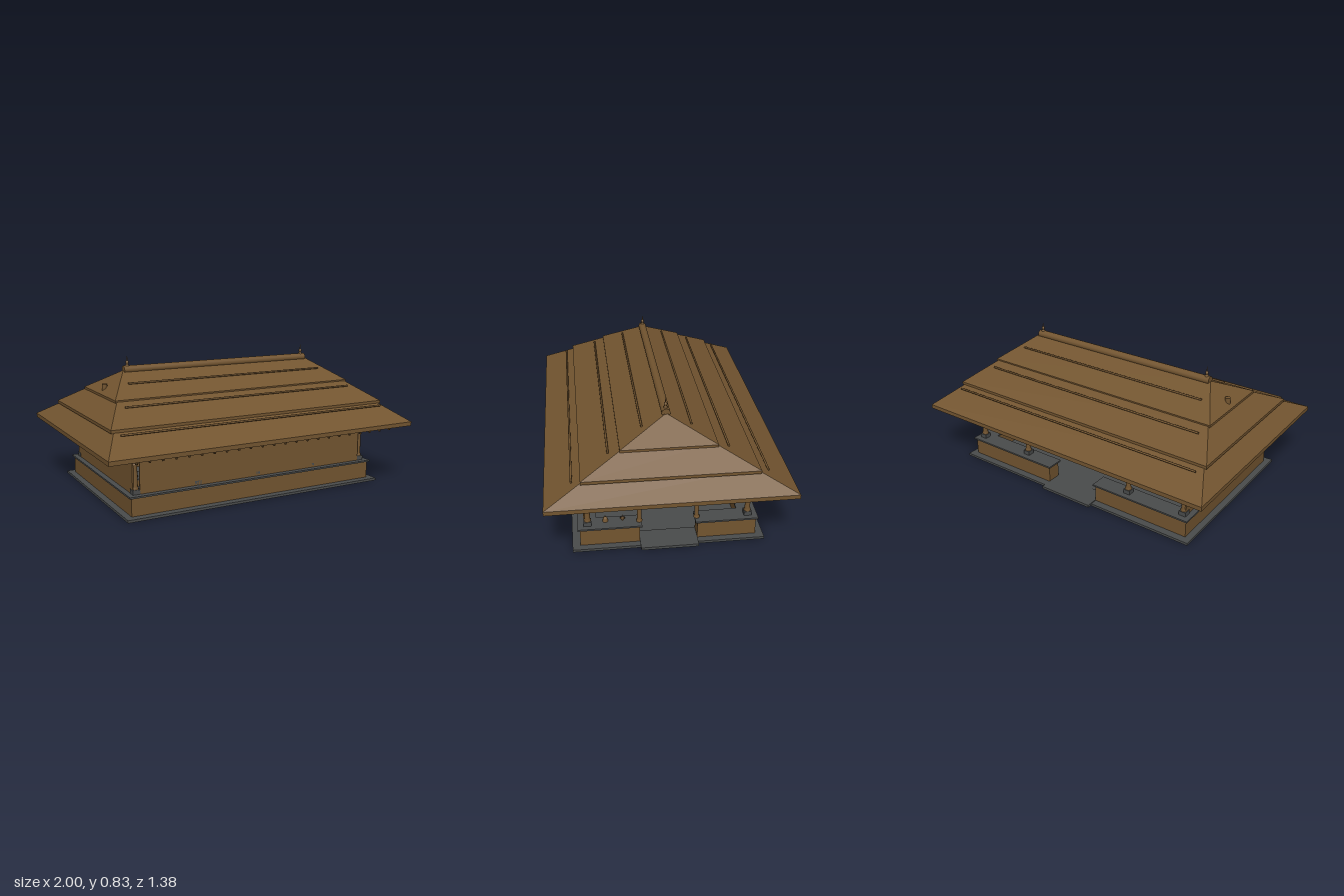
import * as THREE from 'three';

export function createModel() {
  const root = new THREE.Group();
  root.name = 'pavilion';
  const wood = new THREE.MeshStandardMaterial({ color: 0x735530, side: THREE.DoubleSide });
  wood.name = 'brown wood';
  const stone = new THREE.MeshStandardMaterial({ color: 0x4a4c4c });
  stone.name = 'grey stone';

  const add = (name, geo, mat, x = 0, y = 0, z = 0, parent = root) => {
    const m = new THREE.Mesh(geo, mat);
    m.name = name;
    m.position.set(x, y, z);
    parent.add(m);
    return m;
  };
  // Box given by its limits on each axis
  const block = (name, mat, x0, x1, y0, y1, z0, z1) =>
    add(name, new THREE.BoxGeometry(x1 - x0, y1 - y0, z1 - z0), mat,
      (x0 + x1) / 2, (y0 + y1) / 2, (z0 + z1) / 2);
  const lathe = (pts, n = 14) =>
    new THREE.LatheGeometry(pts.map(([r, y]) => new THREE.Vector2(r, y)), n);

  // Base slab and entrance steps
  block('baseSlab', stone, -0.85, 0.85, 0, 0.015, -0.55, 0.55);
  block('rightStep', stone, 0.72, 0.88, 0.004, 0.02, -0.165, 0.165);
  block('backStep', stone, -0.18, 0.18, 0.004, 0.02, -0.58, -0.42);

  // Low walls with stone seats, open in the right end and the back
  const lowWall = (x0, x1, z0, z1) => {
    block('lowWall', wood, x0, x1, 0.015, 0.12, z0, z1);
    const c = 0.012;
    block('seat', stone, x0 - c, x1 + c, 0.12, 0.13, z0 - c, z1 + c);
  };
  lowWall(-0.81, 0.81, 0.42, 0.505);
  lowWall(-0.81, -0.725, -0.42, 0.42);
  lowWall(-0.81, -0.18, -0.505, -0.42);
  lowWall(0.18, 0.81, -0.505, -0.42);
  lowWall(0.725, 0.81, 0.165, 0.42);
  lowWall(0.725, 0.81, -0.42, -0.165);

  // Screens on the front and left end, with rails on the inner side
  block('frontScreen', wood, -0.75, 0.75, 0.13, 0.325, 0.474, 0.482);
  block('leftScreen', wood, -0.789, -0.781, 0.13, 0.325, -0.47, 0.47);
  for (const y of [0.17, 0.235, 0.29]) {
    block('leftScreenRail', wood, -0.781, -0.776, y - 0.003, y + 0.003, -0.47, 0.47);
  }

  // Turned columns with stone feet and stepped brackets
  const shaft = lathe([[0.02, 0.155], [0.02, 0.165], [0.016, 0.172], [0.0145, 0.29], [0.019, 0.295],
    [0.019, 0.302], [0.013, 0.307], [0.013, 0.318], [0.021, 0.332], [0.021, 0.345]]);
  const foot = new THREE.BoxGeometry(0.044, 0.027, 0.044);
  const column = (x, z) => {
    const g = new THREE.Group();
    g.name = 'column';
    g.position.set(x, 0, z);
    root.add(g);
    add('foot', foot, stone, 0, 0.1425, 0, g);
    add('shaft', shaft, wood, 0, 0, 0, g);
    add('lowerBracket', new THREE.BoxGeometry(0.065, 0.013, 0.036), wood, 0, 0.3505, 0, g);
    add('upperBracket', new THREE.BoxGeometry(0.1, 0.015, 0.042), wood, 0, 0.3645, 0, g);
  };
  const columnX = [-0.77, -0.39, 0, 0.39, 0.77];
  for (const x of columnX) {
    column(x, 0.46);
    if (x !== 0) column(x, -0.46);
  }

  // Beams resting on the columns
  for (const s of [-1, 1]) {
    block('longBeam', wood, -0.79, 0.79, 0.372, 0.4, s * 0.46 - 0.015, s * 0.46 + 0.015);
  }
  for (const x of columnX) {
    block('crossBeam', wood, x - 0.013, x + 0.013, 0.375, 0.4, -0.46, 0.46);
  }

  // Right entrance frame
  for (const s of [-1, 1]) {
    add('entrancePost', lathe([[0.017, 0.13], [0.017, 0.14], [0.012, 0.147], [0.0125, 0.315],
      [0.016, 0.325], [0.016, 0.345]]), wood, 0.77, 0, s * 0.165);
  }
  block('entranceLintel', wood, 0.755, 0.785, 0.342, 0.368, -0.18, 0.18);

  // Post passing up through the left slope
  add('roofPost', new THREE.CylinderGeometry(0.016, 0.016, 0.55, 14), wood, -0.765, 0.4, 0);

  // Roof tier: rectangular rings [half x, half z, y] joined by four faces each
  const tier = (name, rings) => {
    const pos = [];
    const corner = ([x, z, y], i) => [[x, y, z], [x, y, -z], [-x, y, -z], [-x, y, z]][i % 4];
    for (let r = 0; r < rings.length - 1; r++) {
      for (let i = 0; i < 4; i++) {
        const a = corner(rings[r], i), b = corner(rings[r], i + 1);
        const c = corner(rings[r + 1], i + 1), d = corner(rings[r + 1], i);
        pos.push(...a, ...b, ...c, ...a, ...c, ...d);
      }
    }
    const g = new THREE.BufferGeometry();
    g.setAttribute('position', new THREE.Float32BufferAttribute(pos, 3));
    g.computeVertexNormals();
    add(name, g, wood);
  };
  tier('lowerRoof', [[0.88, 0.46, 0.482], [0.99, 0.68, 0.372], [1, 0.69, 0.372], [1, 0.69, 0.397], [0.88, 0.46, 0.506]]);
  tier('middleRoof', [[0.78, 0.25, 0.604], [0.905, 0.48, 0.49], [0.91, 0.49, 0.49], [0.91, 0.49, 0.508], [0.78, 0.25, 0.622]]);
  tier('upperRoof', [[0.64, 0.004, 0.725], [0.79, 0.26, 0.607], [0.8, 0.27, 0.607], [0.8, 0.27, 0.621], [0.65, 0.008, 0.745]]);

  // Ridge with a finial at each end
  const along = (name, r, halfLength, y, z) => {
    add(name, new THREE.CylinderGeometry(r, r, halfLength * 2, 12), wood, 0, y, z).rotation.z = Math.PI / 2;
  };
  along('ridge', 0.025, 0.645, 0.75, 0);
  const finial = lathe([[0.012, 0.765], [0.012, 0.778], [0.005, 0.782], [0.01, 0.792], [0.009, 0.799],
    [0.003, 0.805], [0.003, 0.815], [0.0005, 0.833]]);
  for (const s of [-1, 1]) add('finial', finial, wood, s * 0.62, 0, 0);

  // Roof battens and rafters, mirrored front to back
  for (const s of [-1, 1]) {
    for (const [z, y, h] of [[0.537, 0.487, 0.872], [0.333, 0.592, 0.766], [0.139, 0.69, 0.668]]) {
      along('batten', 0.006, h, y, s * z);
    }
    for (let i = -11; i <= 11; i++) {
      const x = i * 0.0765;
      const zTop = Math.max(0.02, (Math.abs(x) - 0.63) / 0.35 * 0.69 + 0.02);
      const run = 0.672 - zTop, rise = run * 0.5;
      const rafter = add('rafter', new THREE.BoxGeometry(0.011, 0.013, Math.hypot(run, rise)), wood,
        x, 0.362 + rise / 2, s * (zTop + run / 2));
      rafter.rotation.x = s * Math.atan2(rise, run);
    }
  }

  // Small platform and vessels
  block('platform', wood, -0.68, -0.48, 0.015, 0.055, -0.16, 0);
  block('platformTop', stone, -0.685, -0.475, 0.055, 0.062, -0.163, 0.003);
  const pot = lathe([[0, 0], [0.009, 0.002], [0.011, 0.01], [0.004, 0.018], [0.006, 0.025]], 10);
  const lamp = lathe([[0, 0], [0.01, 0.001], [0.003, 0.006], [0.003, 0.032], [0.01, 0.039], [0, 0.041]], 10);
  const bell = lathe([[0.017, 0], [0.013, 0.015], [0.011, 0.024], [0.003, 0.029], [0.002, 0.037]], 10);
  const dish = lathe([[0.007, 0], [0.003, 0.008], [0.015, 0.013], [0.003, 0.018], [0.001, 0.034]], 10);
  add('pot', pot, wood, -0.56, 0.062, -0.045);
  add('lamp', lamp, wood, -0.56, 0.062, -0.107);
  add('bell', bell, wood, 0.75, 0.13, 0.358);
  add('oilDish', dish, wood, 0.75, 0.13, 0.26);
  return root;
}
